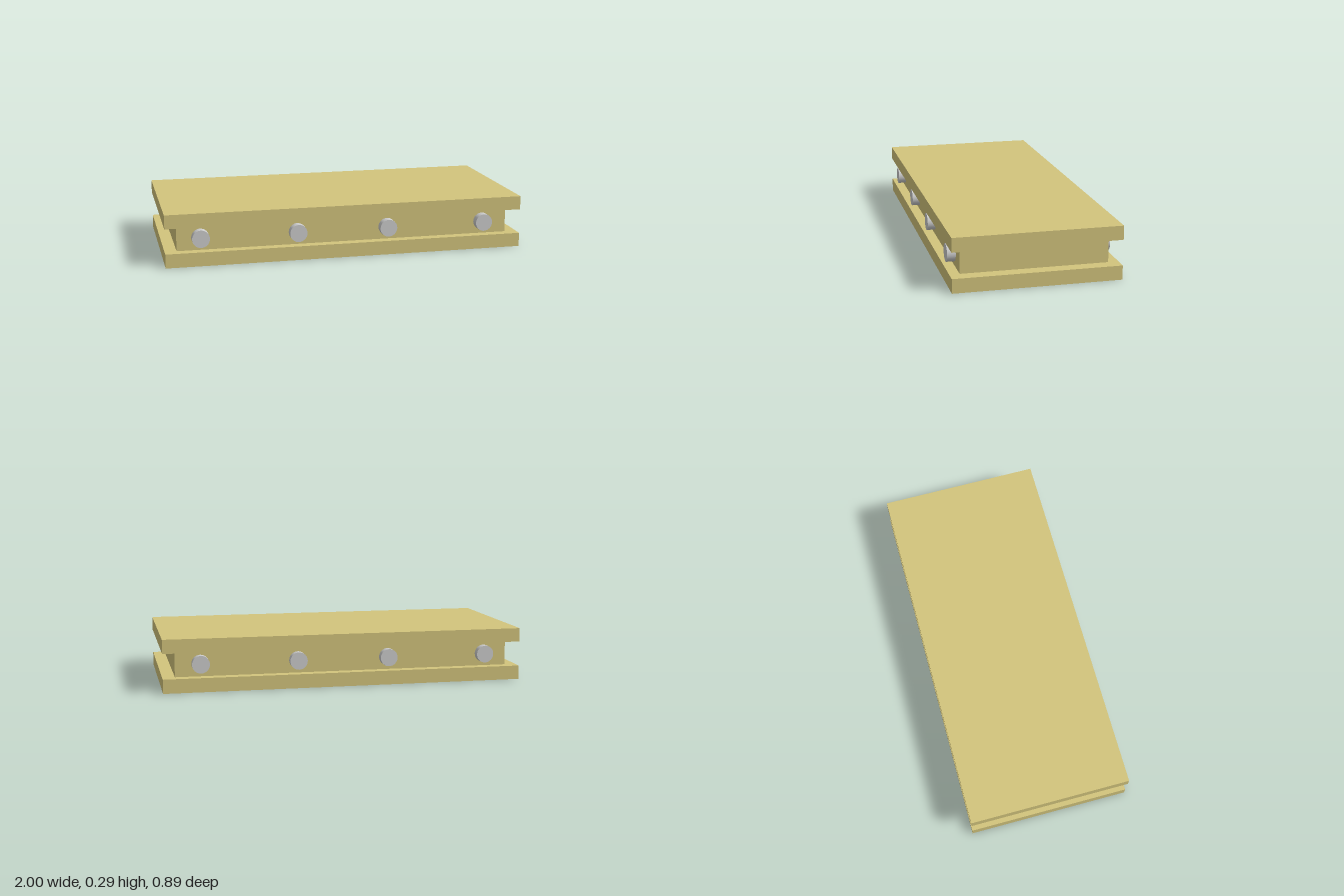
import * as THREE from 'three';

export function createModel() {
  const model = new THREE.Group();
  const wood = new THREE.MeshStandardMaterial({ color: 0xd2c47c });
  const metal = new THREE.MeshStandardMaterial({ color: 0xcccccc });

  // Box given by its extents along each axis
  function slab(name, [x0, x1], [y0, y1], [z0, z1]) {
    const mesh = new THREE.Mesh(new THREE.BoxGeometry(x1 - x0, y1 - y0, z1 - z0), wood);
    mesh.position.set((x0 + x1) / 2, (y0 + y1) / 2, (z0 + z1) / 2);
    mesh.name = name;
    model.add(mesh);
  }

  // Two wide plates with a narrower core between them
  slab('bottomPlate', [-1, 1], [0, 0.077], [-0.447, 0.447]);
  slab('core', [-0.935, 0.932], [0.077, 0.215], [-0.391, 0.393]);
  slab('topPlate', [-1, 1], [0.215, 0.291], [-0.447, 0.447]);

  // Round pegs standing out of a long side, from z0 to z1
  const radius = 0.048;
  function pegs(name, xs, z0, z1) {
    const geometry = new THREE.CylinderGeometry(radius, radius, z1 - z0, 32).rotateX(Math.PI / 2);
    xs.forEach((x) => {
      const peg = new THREE.Mesh(geometry, metal);
      peg.position.set(x, 0.147, (z0 + z1) / 2);
      peg.name = name;
      model.add(peg);
    });
  }
  pegs('frontPeg', [-0.807, -0.275, 0.233, 0.79], 0.385, 0.438);
  pegs('backPeg', [0.795, 0.262, -0.245, -0.804], -0.431, -0.383);

  return model;
}
